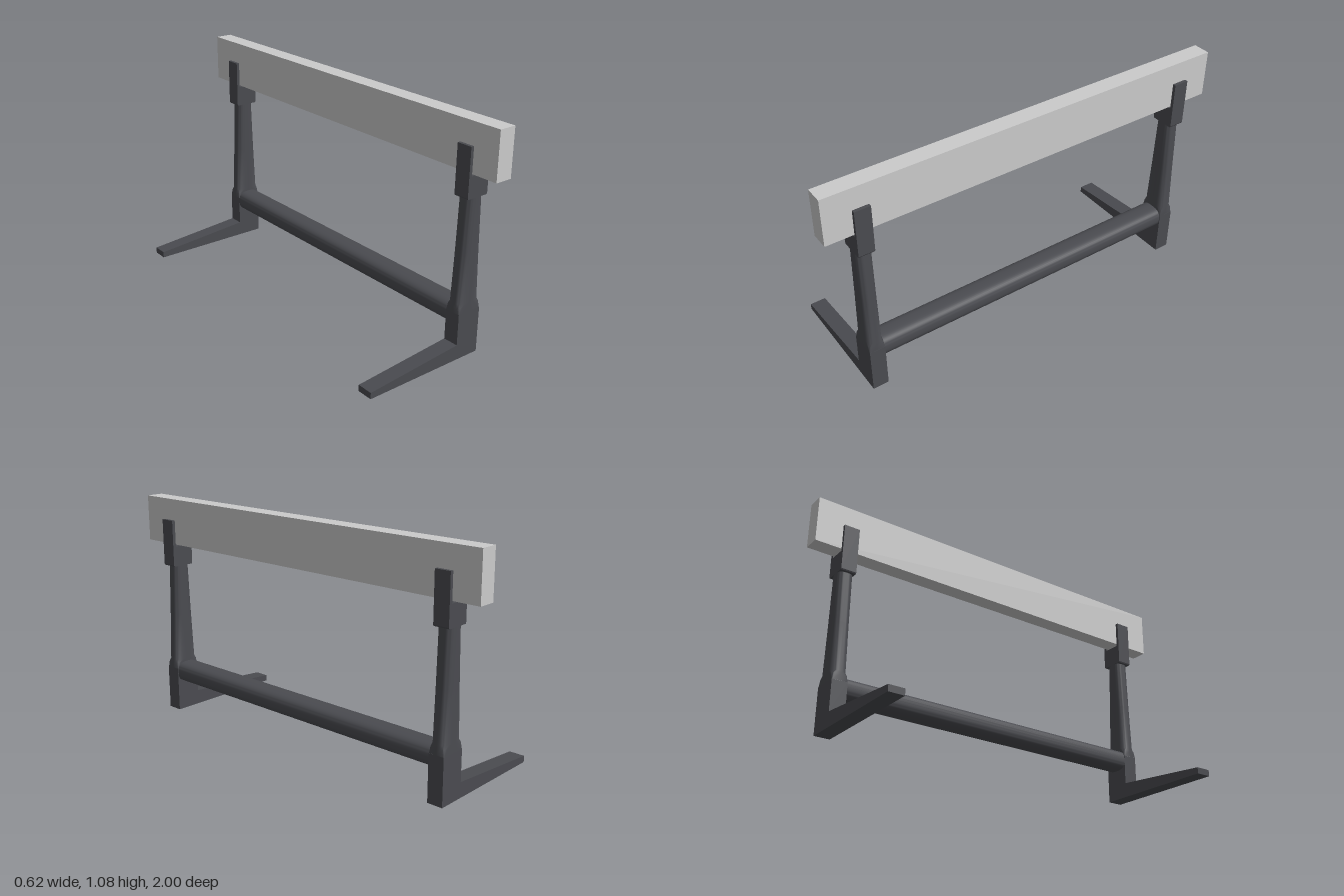
import * as THREE from 'three';
import { toCreasedNormals } from 'three/addons/utils/BufferGeometryUtils.js';

const CX = 0.245;      // x of posts, bar and beam
const POST_Z = 0.833;  // z of the two leg frames
const HALF_T = 0.0375; // half thickness of a leg frame

// Loft of superellipse rings along y: [y, halfX, halfZ, exponent]
function loft(sections, segments = 40) {
  const pos = [], index = [];
  const bend = (v, n) => Math.sign(v) * Math.pow(Math.abs(v), 2 / n);
  for (const [y, hx, hz, n] of sections) {
    for (let j = 0; j < segments; j++) {
      const a = (j / segments) * Math.PI * 2;
      pos.push(hx * bend(Math.cos(a), n), y, hz * bend(Math.sin(a), n));
    }
  }
  for (let i = 0; i < sections.length - 1; i++) {
    for (let j = 0; j < segments; j++) {
      const k = (j + 1) % segments;
      const a = i * segments + j, b = i * segments + k;
      const c = a + segments, d = b + segments;
      index.push(a, c, b, b, c, d);
    }
  }
  const g = new THREE.BufferGeometry();
  g.setAttribute('position', new THREE.Float32BufferAttribute(pos, 3));
  g.setIndex(index);
  return toCreasedNormals(g, 0.6);
}

// Flat outline in x/y, extruded to the thickness of the frame
function plate(points) {
  const shape = new THREE.Shape(points.map(([x, y]) => new THREE.Vector2(x, y)));
  const g = new THREE.ExtrudeGeometry(shape, { depth: HALF_T * 2, bevelEnabled: false });
  return g.translate(0, 0, -HALF_T);
}

export function createModel() {
  const model = new THREE.Group();
  model.name = 'sideFrame';
  const dark = new THREE.MeshStandardMaterial({ color: 0x4a4b50 });
  const grey = new THREE.MeshStandardMaterial({ color: 0xcccccc });

  const add = (parent, name, geometry, material) => {
    const mesh = new THREE.Mesh(geometry, material);
    mesh.name = name;
    parent.add(mesh);
    return mesh;
  };

  // Tapered foot with the square base of the post
  const footGeo = plate([
    [-0.31, 0], [0.309, 0], [0.309, 0.22], [0.183, 0.22], [0.183, 0.072], [-0.31, 0.03],
  ]);

  // Post: square at the base, rounded and tapering above
  const postGeo = loft([
    [0.22, 0.063, HALF_T, 40],
    [0.25, 0.063, HALF_T, 7],
    [0.265, 0.062, HALF_T, 3],
    [0.5, 0.0515, HALF_T, 2.8],
    [0.76, 0.041, HALF_T, 2.8],
  ]);

  // Fork that cradles the beam
  const forkGeo = plate([
    [0.191, 0.75], [0.299, 0.75], [0.303, 0.756], [0.303, 0.98], [0.287, 0.98],
    [0.287, 0.85], [0.203, 0.85], [0.203, 0.98], [0.188, 0.98], [0.188, 0.756],
  ]);

  for (const [name, side] of [['frontLeg', 1], ['backLeg', -1]]) {
    const leg = new THREE.Group();
    leg.name = name;
    leg.position.z = side * POST_Z;
    add(leg, 'foot', footGeo, dark);
    add(leg, 'post', postGeo, dark).position.x = CX;
    add(leg, 'fork', forkGeo, dark);
    model.add(leg);
  }

  // Rounded crossbar between the posts
  const barGeo = loft([[-0.82, 0.061, 0.05, 2.8], [0.82, 0.061, 0.05, 2.8]]);
  const bar = add(model, 'crossbar', barGeo.rotateX(Math.PI / 2), dark);
  bar.position.set(CX, 0.2, 0);

  // Long beam resting in the forks
  const beam = add(model, 'beam', new THREE.BoxGeometry(0.084, 0.223, 2), grey);
  beam.position.set(CX, 0.972, 0);

  return model;
}
